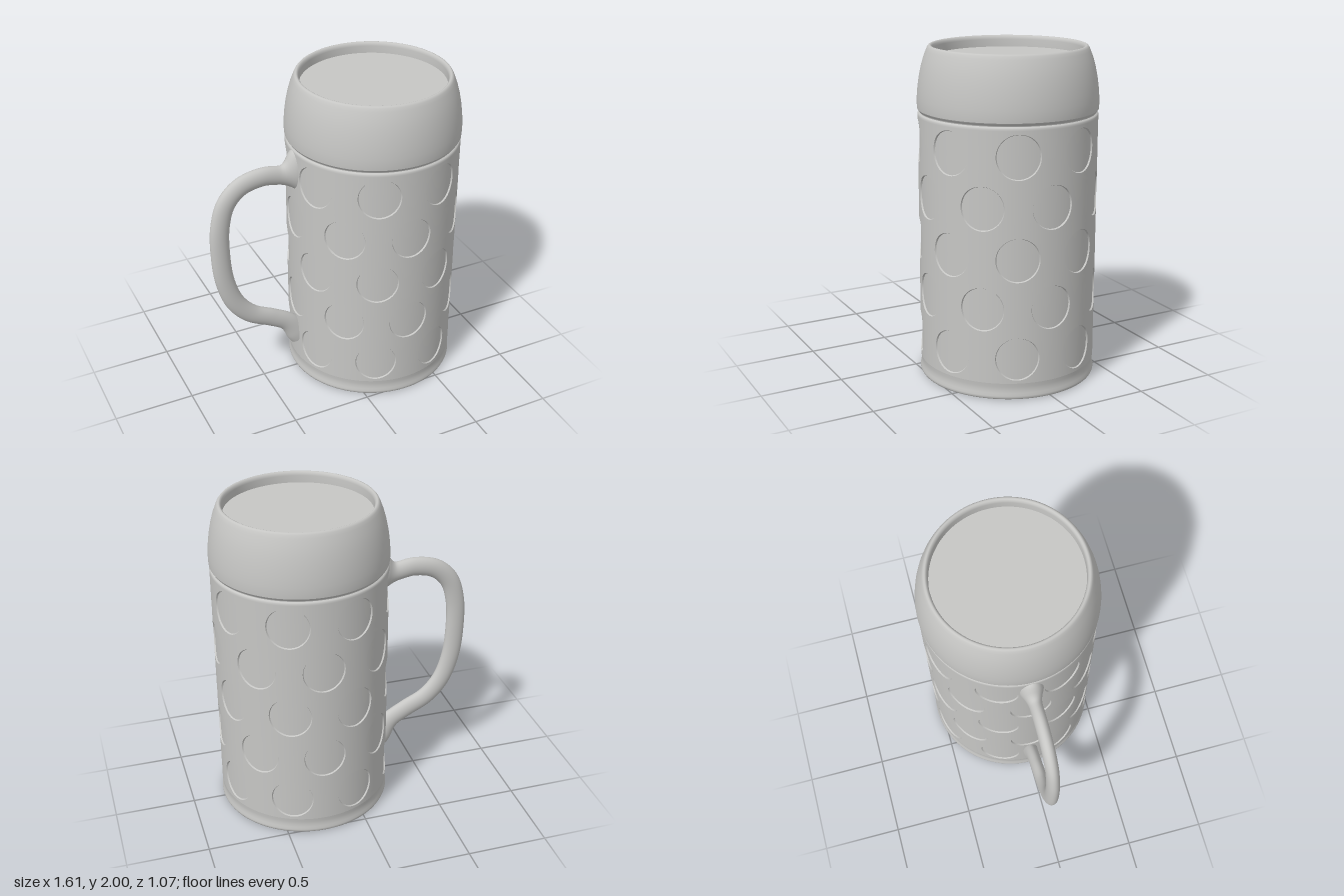
import * as THREE from 'three';
import { mergeGeometries } from 'three/addons/utils/BufferGeometryUtils.js';

const R = 0.532;            // body radius
const CX = 0.265;           // mug axis
const Y0 = 0.102, ROW = 0.2975, ROWS = 5, COLS = 8;
const DIMPLE = 0.13, DEPTH = 0.009;
const SIDE = 24;            // samples along a cell's width

const glass = new THREE.MeshStandardMaterial({ color: 0xc6c6c4 });
glass.name = 'greyGlass';

// Smooth lathe between creases: each profile is its own strip
function lathe(...profiles) {
  return mergeGeometries(profiles.map(p =>
    new THREE.LatheGeometry(p.map(([x, y]) => new THREE.Vector2(x, y)), SIDE * COLS)));
}

// Points round the border of one rectangular cell, counter-clockwise
function cellBorder() {
  const w = R * Math.PI / COLS, h = ROW / 2, n = SIDE, m = SIDE / 2, pts = [];
  for (let i = 0; i < n; i++) pts.push([-w + 2 * w * i / n, -h]);
  for (let i = 0; i < m; i++) pts.push([w, -h + 2 * h * i / m]);
  for (let i = 0; i < n; i++) pts.push([w - 2 * w * i / n, h]);
  for (let i = 0; i < m; i++) pts.push([-w, h - 2 * h * i / m]);
  return pts;
}

// Wrap concentric rings of [u, v, depth] onto the cylinder
function wrapRings(rings, angle, y, radialNormals) {
  const pos = [], nor = [], idx = [], n = rings[0].length;
  for (const ring of rings) for (const [u, v, d] of ring) {
    const a = angle + u / R, s = Math.sin(a), c = Math.cos(a);
    pos.push((R - d) * s, y + v, (R - d) * c);
    nor.push(s, 0, c);
  }
  for (let r = 0; r < rings.length - 1; r++) for (let k = 0; k < n; k++) {
    const a = r * n + k, b = r * n + (k + 1) % n;
    idx.push(a, a + n, b + n, a, b + n, b);
  }
  const g = new THREE.BufferGeometry();
  g.setAttribute('position', new THREE.Float32BufferAttribute(pos, 3));
  g.setAttribute('normal', new THREE.Float32BufferAttribute(nor, 3));
  g.setIndex(idx);
  if (!radialNormals) g.computeVertexNormals();
  return g;
}

// Wall with staggered rows of shallow round recesses
function dimpledWall() {
  const border = cellBorder(), parts = [];
  const circle = (r, d) => border.map(([u, v]) => {
    const l = Math.hypot(u, v);
    return [u / l * r, v / l * r, d];
  });
  const edge = circle(DIMPLE, 0);
  const mid = border.map(([u, v], i) => [(u + edge[i][0]) / 2, (v + edge[i][1]) / 2, 0]);
  const outer = [edge, mid, border.map(([u, v]) => [u, v, 0])];
  const inner = DIMPLE - 0.004;
  const wall = [circle(inner, DEPTH), edge];
  const floor = [0.001, 0.3, 0.55, 0.78, 1].map(f => circle(inner * f, DEPTH));
  for (let row = 0; row < ROWS; row++) for (let col = 0; col < COLS; col++) {
    const a = (col + (row % 2 ? 0 : 0.5)) * Math.PI * 2 / COLS;
    const y = Y0 + ROW * (row + 0.5);
    parts.push(wrapRings(outer, a, y, true), wrapRings(wall, a, y, false), wrapRings(floor, a, y, true));
  }
  return mergeGeometries(parts);
}

// Oval tube along a flat path, flaring where it meets the wall
function handleGeometry() {
  const path = new THREE.CatmullRomCurve3([
    [-0.235, 1.465], [-0.33, 1.455], [-0.46, 1.472], [-0.6, 1.44], [-0.695, 1.35],
    [-0.742, 1.2], [-0.75, 1.0], [-0.73, 0.8], [-0.67, 0.63], [-0.57, 0.515],
    [-0.43, 0.44], [-0.32, 0.37], [-0.235, 0.25],
  ].map(([x, y]) => new THREE.Vector3(x, y, 0)));
  const N = 100, M = 28, pos = [], idx = [];
  for (let i = 0; i <= N; i++) {
    const p = path.getPointAt(i / N), t = path.getTangentAt(i / N);
    const near = Math.max(0, Math.min(1, (p.x + 0.36) / 0.1));
    const flare = near * near * (i < N / 2 ? 1 : 0.25);
    const a = 0.06 + 0.08 * flare, b = 0.04 + 0.035 * flare;
    for (let j = 0; j < M; j++) {
      const q = j / M * Math.PI * 2, c = a * Math.cos(q);
      pos.push(p.x - t.y * c, p.y + t.x * c, b * Math.sin(q));
    }
  }
  for (let i = 0; i < N; i++) for (let j = 0; j < M; j++) {
    const a = i * M + j, b = i * M + (j + 1) % M;
    idx.push(a, b, a + M, b, b + M, a + M);
  }
  const g = new THREE.BufferGeometry();
  g.setAttribute('position', new THREE.Float32BufferAttribute(pos, 3));
  g.setIndex(idx);
  g.computeVertexNormals();
  return g;
}

export function createModel() {
  const group = new THREE.Group();
  group.name = 'beerMug';
  const add = (name, geometry, x) => {
    const mesh = new THREE.Mesh(geometry, glass);
    mesh.name = name;
    mesh.position.x = x;
    group.add(mesh);
  };
  const top = Y0 + ROW * ROWS;

  add('dimpledBody', dimpledWall(), CX);

  // Foot: slightly hollow base, rounded lip, soft waist
  add('foot', lathe(
    [[0, 0.025], [0.41, 0.008]],
    [[0.41, 0.008], [0.52, 0]],
    [[0.52, 0], [0.531, 0.005], [0.535, 0.014], [0.535, 0.024], [0.531, 0.04], [0.528, 0.06], [0.529, 0.08], [R, Y0]],
  ), CX);

  // Groove under the collar
  add('neckGroove', lathe(
    [[R, top], [R, 1.6], [0.528, 1.606], [0.521, 1.611]],
    [[0.521, 1.611], [0.521, 1.617], [0.528, 1.622], [0.534, 1.632]],
  ), CX);

  // Bulging collar with rounded rim and inner wall
  add('collar', lathe(
    [[0.534, 1.632], [0.536, 1.66], [0.535, 1.7], [0.531, 1.75], [0.523, 1.81], [0.511, 1.87],
      [0.496, 1.925], [0.479, 1.97], [0.471, 1.988], [0.464, 1.997], [0.456, 2], [0.449, 1.997],
      [0.443, 1.988], [0.44, 1.975], [0.44, 1.93]],
  ), CX);

  add('drinkSurface', lathe([[0.44, 1.93], [0, 1.93]]), CX);
  add('handle', handleGeometry(), 0);
  return group;
}
